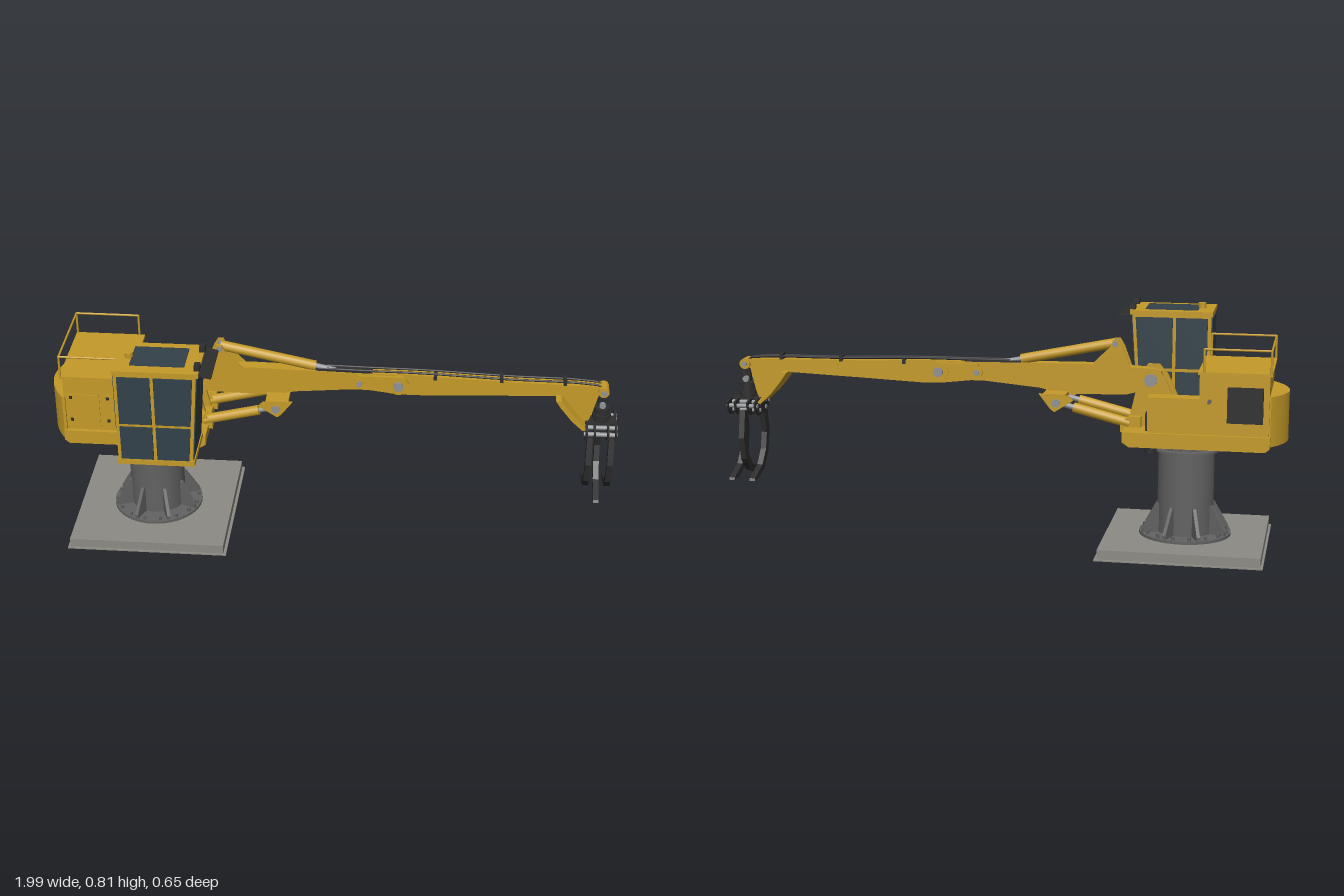
import * as THREE from 'three';

const mat = (color) => new THREE.MeshStandardMaterial({ color, side: THREE.DoubleSide });
const YELLOW = mat(0xc49a28), DARK = mat(0x2e2e2e), STEEL = mat(0x626262), STONE = mat(0x8c8b84), GLASS = mat(0x33414a), CHROME = mat(0x8f9296);
const MID = -0.037; // z of the boom plane and slew axis
const AXIS = -0.653; // x of the slew axis

export function createModel() {
  const root = new THREE.Group();
  const add = (name, geo, m, parent = root) => {
    const mesh = new THREE.Mesh(geo, m);
    mesh.name = name;
    parent.add(mesh);
    return mesh;
  };
  // box given by its limits
  const box = (name, m, x0, x1, y0, y1, z0, z1, parent) => {
    const b = add(name, new THREE.BoxGeometry(x1 - x0, y1 - y0, z1 - z0), m, parent);
    b.position.set((x0 + x1) / 2, (y0 + y1) / 2, (z0 + z1) / 2);
    return b;
  };
  // side profile in x, y extruded along z about a centre
  const plate = (name, m, pts, z, width, parent) => {
    const shape = new THREE.Shape(pts.map((p) => new THREE.Vector2(...p)));
    const g = new THREE.ExtrudeGeometry(shape, { depth: width, bevelEnabled: false });
    return add(name, g.translate(0, 0, z - width / 2), m, parent);
  };
  const rod = (name, m, a, b, r, parent, sides = 16) => {
    const p = new THREE.Vector3(...a), q = new THREE.Vector3(...b);
    const c = add(name, new THREE.CylinderGeometry(r, r, p.distanceTo(q), sides), m, parent);
    c.position.copy(p).lerp(q, 0.5);
    c.quaternion.setFromUnitVectors(new THREE.Vector3(0, 1, 0), q.sub(p).normalize());
    return c;
  };
  const pin = (name, m, x, y, r, width) => rod(name, m, [x, y, MID - width / 2], [x, y, MID + width / 2], r, root, 24);

  // foundation and pedestal
  box('basePlate', STONE, -0.94, -0.37, 0, 0.004, -0.325, 0.247);
  box('foundation', STONE, -0.932, -0.38, 0.004, 0.037, -0.315, 0.239);
  const disc = (name, m, y0, y1, r, x = AXIS, z = MID) => rod(name, m, [x, y0, z], [x, y1, z], r, root, 40);
  disc('baseFlange', STEEL, 0.037, 0.047, 0.16);
  disc('pedestal', STEEL, 0.047, 0.34, 0.0975);
  disc('topFlange', STEEL, 0.34, 0.348, 0.122);
  disc('slewRing', STEEL, 0.348, 0.374, 0.098);
  for (let i = 0; i < 40; i++) {
    const a = (i / 40) * Math.PI * 2;
    const tooth = add('ringTooth', new THREE.BoxGeometry(0.012, 0.016, 0.008), STEEL);
    tooth.position.set(AXIS + Math.cos(a) * 0.101, 0.36, MID + Math.sin(a) * 0.101);
    tooth.rotation.y = -a;
  }
  for (let i = 0; i < 8; i++) {
    const a = ((i + 0.5) / 8) * Math.PI * 2;
    const g = new THREE.Group();
    g.position.set(AXIS, 0, MID);
    g.rotation.y = a;
    root.add(g);
    plate('gusset', STEEL, [[0.09, 0.047], [0.155, 0.047], [0.155, 0.06], [0.105, 0.147], [0.09, 0.147]], 0, 0.012, g);
    for (const s of [-0.2, 0.2]) rod('anchorBolt', STEEL, [Math.cos(s) * 0.147, 0.047, Math.sin(s) * 0.147], [Math.cos(s) * 0.147, 0.06, Math.sin(s) * 0.147], 0.006, g, 6);
  }
  disc('slewMotor', DARK, 0.345, 0.374, 0.02, -0.54, -0.15);

  // revolving deck, machine house and counterweight
  plate('deck', YELLOW, [[-0.945, 0.385], [-0.93, 0.372], [-0.47, 0.372], [-0.445, 0.388], [-0.445, 0.423], [-0.945, 0.423]], -0.038, 0.324);
  box('house', YELLOW, -0.94, -0.705, 0.42, 0.632, -0.187, 0.11);
  box('houseRoof', YELLOW, -0.948, -0.7, 0.63, 0.64, -0.198, 0.12);
  box('sideLocker', YELLOW, -0.705, -0.53, 0.42, 0.545, -0.187, -0.125);
  box('lockerDoor', DARK, -0.532, -0.522, 0.425, 0.487, -0.172, -0.145);
  box('radiator', DARK, -0.92, -0.8, 0.47, 0.59, -0.208, -0.185);
  for (let i = 0; i < 5; i++) box('radiatorSlat', DARK, -0.912, -0.808, 0.482 + i * 0.021, 0.49 + i * 0.021, -0.213, -0.205);
  rod('exhaust', STEEL, [-0.74, 0.54, -0.187], [-0.74, 0.54, -0.217], 0.006);
  for (const x of [-0.93, -0.8]) {
    box('doorPanel', YELLOW, x, x + 0.115, 0.435, 0.565, 0.11, 0.113);
    for (const y of [0.46, 0.55]) box('latch', DARK, x + 0.01, x + 0.02, y, y + 0.01, 0.112, 0.117);
  }
  const cw = new THREE.Shape();
  cw.moveTo(-0.935, 0.17);
  cw.lineTo(-0.945, 0.17);
  cw.quadraticCurveTo(-1.055, 0.033, -0.945, -0.118);
  cw.lineTo(-0.935, -0.118);
  const cwGeo = new THREE.ExtrudeGeometry(cw, { depth: 0.172, bevelEnabled: false, curveSegments: 24 });
  add('counterweight', cwGeo.rotateX(-Math.PI / 2).translate(0, 0.385, 0), YELLOW);

  // guard rail round three sides of the roof
  const rail = [[-0.72, -0.196], [-0.944, -0.196], [-0.944, 0.118], [-0.72, 0.118]];
  rail.forEach(([x, z], i) => {
    rod('railPost', YELLOW, [x, 0.638, z], [x, 0.72, z], 0.004, root, 8);
    if (i) rod('handRail', YELLOW, [rail[i - 1][0], 0.718, rail[i - 1][1]], [x, 0.718, z], 0.004, root, 8);
  });

  // operator cab: pillars and glass on all sides
  const cab = new THREE.Group();
  cab.name = 'cab';
  root.add(cab);
  plate('cabBody', YELLOW, [[-0.715, 0.428], [-0.46, 0.428], [-0.436, 0.778], [-0.715, 0.778]], 0.225, 0.188, cab);
  box('cabRoof', YELLOW, -0.72, -0.428, 0.776, 0.792, 0.125, 0.324, cab);
  box('cabSill', YELLOW, -0.718, -0.453, 0.425, 0.444, 0.127, 0.322, cab);
  const frontX = (y) => -0.46 + ((y - 0.428) / 0.35) * 0.024; // slope of the windscreen
  for (const z of [0.129, 0.321])
    for (const [y0, y1] of [[0.448, 0.575], [0.587, 0.768]]) {
      plate('sideGlass', GLASS, [[-0.703, y0], [-0.592, y0], [-0.592, y1], [-0.703, y1]], z, 0.006, cab);
      plate('sideGlass', GLASS, [[-0.58, y0], [frontX(y0) - 0.012, y0], [frontX(y1) - 0.012, y1], [-0.58, y1]], z, 0.006, cab);
    }
  plate('windscreen', GLASS, [[frontX(0.448) - 0.003, 0.448], [frontX(0.448) + 0.003, 0.448], [frontX(0.77) + 0.003, 0.77], [frontX(0.77) - 0.003, 0.77]], 0.225, 0.174, cab);
  rod('wiper', DARK, [frontX(0.61) + 0.006, 0.61, 0.225], [frontX(0.71) + 0.006, 0.71, 0.225], 0.002, cab, 6);
  box('rearGlass', GLASS, -0.719, -0.713, 0.56, 0.765, 0.142, 0.308, cab);
  box('roofGlass', GLASS, -0.665, -0.48, 0.79, 0.795, 0.157, 0.282, cab);
  plate('visor', DARK, [[-0.43, 0.778], [-0.386, 0.77], [-0.386, 0.774], [-0.43, 0.784]], 0.22, 0.19, cab);
  for (const z of [0.161, 0.288]) box('workLight', DARK, -0.445, -0.425, 0.792, 0.811, z - 0.015, z + 0.015, cab);
  rod('beacon', YELLOW, [-0.675, 0.79, 0.225], [-0.675, 0.811, 0.225], 0.014, cab);
  // cab bracket, sloping down towards the deck
  const arm = new THREE.Shape([[0.298, 0.428], [0.298, 0.418], [0.127, 0.39], [0.1, 0.39], [0.1, 0.428]].map((p) => new THREE.Vector2(-p[0], p[1])));
  const armGeo = new THREE.ExtrudeGeometry(arm, { depth: 0.2, bevelEnabled: false });
  add('cabBracket', armGeo.rotateY(Math.PI / 2).translate(-0.685, 0, 0), YELLOW, cab);
  for (const x of [-0.69, -0.5]) box('cabMount', DARK, x - 0.014, x + 0.014, 0.395, 0.425, 0.13, 0.17, cab);

  // boom foot: a pair of tower plates
  for (const s of [-1, 1]) {
    plate('towerPlate', YELLOW, [[-0.66, 0.42], [-0.45, 0.42], [-0.46, 0.46], [-0.49, 0.6], [-0.51, 0.625], [-0.55, 0.625], [-0.58, 0.59]], MID + s * 0.045, 0.014);
    // lift cylinder and its lug and wing on the boom
    const z = MID + s * 0.066;
    plate('cylinderLug', YELLOW, [[-0.5, 0.42], [-0.43, 0.405], [-0.43, 0.44], [-0.46, 0.46], [-0.5, 0.46]], z, 0.03);
    rod('liftCylinder', YELLOW, [-0.46, 0.435, z], [-0.265, 0.483, z], 0.018);
    rod('liftRod', CHROME, [-0.27, 0.482, z], [-0.205, 0.498, z], 0.01);
    plate('cylinderWing', YELLOW, [[-0.265, 0.508], [-0.2, 0.466], [-0.185, 0.478], [-0.145, 0.53], [-0.25, 0.525]], z + s * 0.014, 0.008);
    rod('wingPin', CHROME, [-0.205, 0.498, z - 0.022], [-0.205, 0.498, z + 0.022], 0.015);
    // upper ears holding the stick cylinder
    plate('boomEar', YELLOW, [[-0.46, 0.61], [-0.43, 0.69], [-0.415, 0.716], [-0.395, 0.716], [-0.385, 0.69], [-0.31, 0.615]], MID + s * 0.024, 0.008);
  }
  box('wingBeam', YELLOW, -0.24, -0.16, 0.515, 0.53, MID - 0.084, MID + 0.084);
  pin('footPin', CHROME, -0.53, 0.585, 0.022, 0.125);
  pin('earPin', CHROME, -0.403, 0.702, 0.01, 0.07);

  // boom and stick
  plate('boom', YELLOW, [[-0.57, 0.58], [-0.55, 0.555], [-0.44, 0.525], [-0.22, 0.52], [-0.14, 0.538], [0.06, 0.556], [0.22, 0.555], [0.25, 0.585], [0.22, 0.612], [0.05, 0.622], [-0.3, 0.628], [-0.5, 0.62], [-0.56, 0.61]], MID, 0.042);
  plate('stick', YELLOW, [[0.06, 0.575], [0.1, 0.556], [0.2, 0.544], [0.27, 0.54], [0.5, 0.55], [0.76, 0.56], [0.92, 0.57], [0.955, 0.58], [0.95, 0.598], [0.92, 0.604], [0.5, 0.612], [0.25, 0.622], [0.1, 0.62]], MID, 0.036);
  for (const s of [-1, 1]) plate('elbowCheek', YELLOW, [[0.08, 0.57], [0.2, 0.55], [0.25, 0.555], [0.262, 0.585], [0.24, 0.615], [0.08, 0.615]], MID + s * 0.025, 0.008);
  pin('elbowBoss', YELLOW, 0.222, 0.583, 0.036, 0.064);
  pin('elbowPin', CHROME, 0.222, 0.583, 0.017, 0.086);
  pin('linkBoss', YELLOW, 0.085, 0.585, 0.02, 0.06);
  pin('linkPin', CHROME, 0.085, 0.585, 0.01, 0.076);

  // stick cylinder above the boom, with hoses
  rod('stickCylinder', YELLOW, [-0.403, 0.702, MID], [-0.07, 0.634, MID], 0.018);
  rod('stickRod', CHROME, [-0.07, 0.634, MID], [0.085, 0.602, MID], 0.01);
  box('boomHoseTray', DARK, -0.07, 0.13, 0.621, 0.629, MID - 0.018, MID + 0.018);
  for (const s of [-1, 1]) {
    const path = new THREE.CatmullRomCurve3([[-0.03, 0.63], [0.12, 0.628], [0.3, 0.627], [0.6, 0.617], [0.87, 0.612], [0.93, 0.6], [0.935, 0.545]].map(([x, y]) => new THREE.Vector3(x, y, MID + s * 0.012)));
    add('hose', new THREE.TubeGeometry(path, 40, 0.004, 8), DARK);
  }
  for (const x of [0.35, 0.58, 0.8]) box('hoseClamp', DARK, x - 0.006, x + 0.006, 0.605, 0.626, MID - 0.02, MID + 0.02);

  // curved log stop below the stick end
  plate('logStop', YELLOW, [[0.77, 0.565], [0.79, 0.535], [0.83, 0.485], [0.87, 0.448], [0.882, 0.452], [0.85, 0.49], [0.81, 0.54], [0.79, 0.565]], MID, 0.122);
  plate('logStopRib', YELLOW, [[0.79, 0.565], [0.87, 0.45], [0.885, 0.452], [0.9, 0.49], [0.92, 0.572]], MID, 0.026);

  // grapple head
  pin('tipBoss', YELLOW, 0.935, 0.586, 0.019, 0.056);
  pin('tipPin', CHROME, 0.935, 0.586, 0.009, 0.074);
  box('hanger', DARK, 0.922, 0.948, 0.52, 0.58, MID - 0.012, MID + 0.012);
  rod('swivel', CHROME, [0.935, 0.53, MID - 0.024], [0.935, 0.53, MID + 0.024], 0.011);
  disc('rotator', DARK, 0.46, 0.515, 0.027, 0.935);
  disc('rotatorCollar', DARK, 0.477, 0.492, 0.033, 0.935);

  // profile in z, y extruded along x
  const slab = (name, pts, x, width) => {
    const shape = new THREE.Shape(pts.map(([z, y]) => new THREE.Vector2(-z, y)));
    const g = new THREE.ExtrudeGeometry(shape, { depth: width, bevelEnabled: false });
    return add(name, g.rotateY(Math.PI / 2).translate(x - width / 2, 0, 0), DARK);
  };
  const half = [[0.06, 0.463], [0.084, 0.455], [0.078, 0.425], [0.045, 0.403]];
  const body = [...half.map(([z, y]) => [MID + z, y]), ...half.reverse().map(([z, y]) => [MID - z, y])];
  for (const x of [0.884, 0.912, 0.958, 0.986]) slab('headPlate', body, x, 0.007);
  box('headCore', DARK, 0.88, 0.99, 0.425, 0.462, MID - 0.03, MID + 0.03);
  for (const s of [-1, 1])
    for (const [z, y] of [[0.033, 0.448], [0.033, 0.42], [0.066, 0.44]]) rod('headPin', CHROME, [0.877, y, MID + s * z], [0.993, y, MID + s * z], 0.008);

  // curved tines: the outer pair closes against the middle one
  const tine = [[0.067, 0.425], [0.088, 0.325], [0.068, 0.244], [0.022, 0.196], [-0.036, 0.175], [-0.096, 0.171], [-0.09, 0.18], [-0.003, 0.211], [0.041, 0.26], [0.057, 0.319], [0.03, 0.415]];
  for (const [x, s] of [[0.897, 1], [0.935, -1], [0.973, 1]]) slab('tine', tine.map(([z, y]) => [MID + s * z, y]), x, 0.02);

  return root;
}
